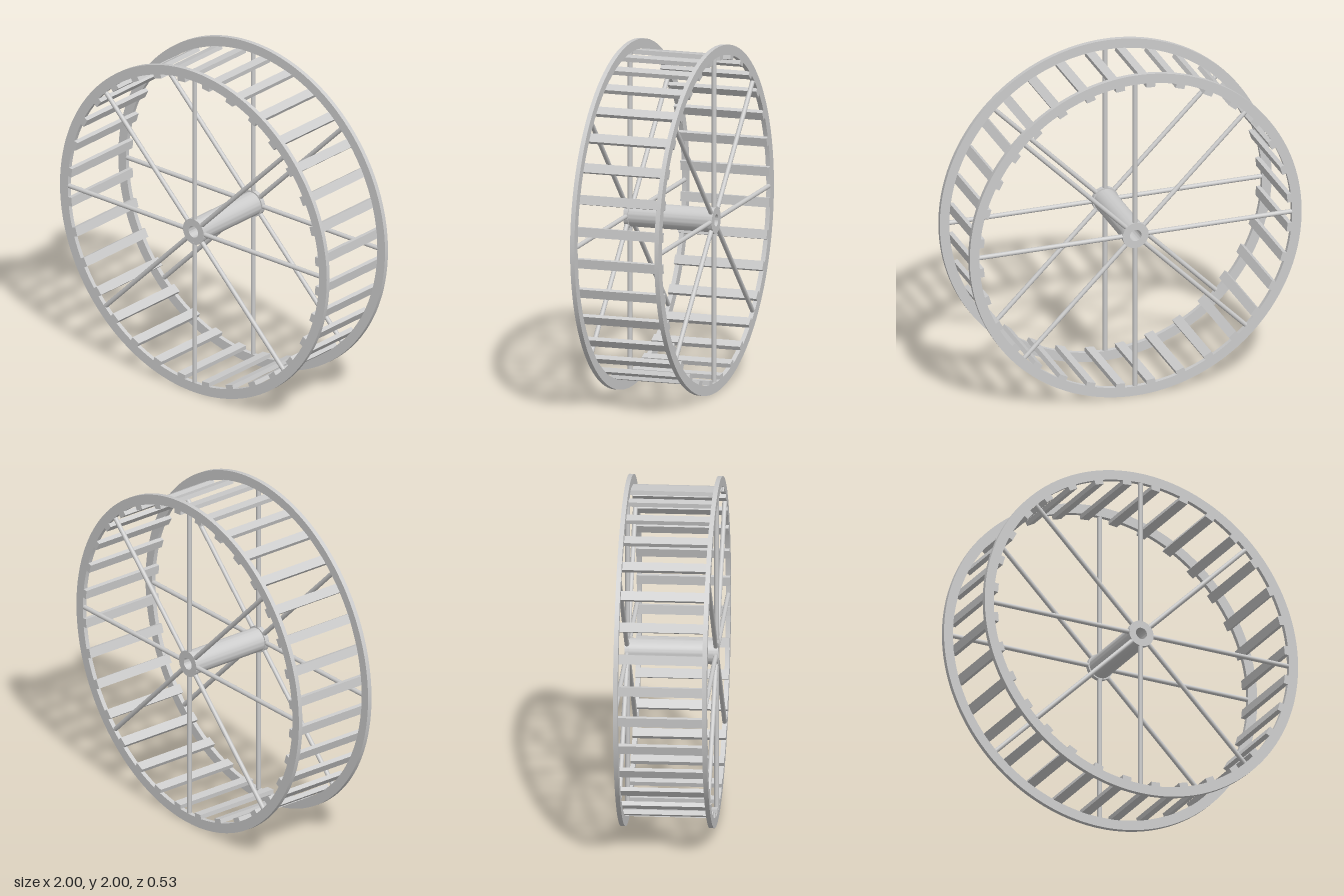
import * as THREE from 'three';
import { toCreasedNormals } from 'three/addons/utils/BufferGeometryUtils.js';

const RIM_Z = 0.253, RIM_T = 0.026, SPOKES = 8, SLATS = 32;

export function createModel() {
  const model = new THREE.Group();
  const mat = new THREE.MeshStandardMaterial({ color: 0xcccccc });

  const add = (parent, name, geometry) => {
    const mesh = new THREE.Mesh(geometry, mat);
    mesh.name = name;
    parent.add(mesh);
    return mesh;
  };

  // flat ring with a round hole, centred on z = 0
  const ring = (outer, inner, depth, segments) => {
    const shape = new THREE.Shape().absarc(0, 0, outer, 0, Math.PI * 2, false);
    shape.holes.push(new THREE.Path().absarc(0, 0, inner, 0, Math.PI * 2, true));
    const g = new THREE.ExtrudeGeometry(shape, { depth, bevelEnabled: false, curveSegments: segments });
    g.translate(0, 0, -depth / 2);
    return toCreasedNormals(g, 0.6);
  };

  const wheel = new THREE.Group();
  wheel.name = 'wheel';
  wheel.position.y = 1;
  model.add(wheel);

  // two side frames: rim, hub flange and spokes
  const rimGeo = ring(1, 0.942, RIM_T, 96);
  const flangeGeo = ring(0.078, 0.035, RIM_T, 32);
  const spokeGeo = new THREE.CylinderGeometry(0.0135, 0.0135, 0.885, 16);
  spokeGeo.translate(0, 0.065 + 0.885 / 2, 0);
  for (const side of [1, -1]) {
    const frame = new THREE.Group();
    frame.name = side > 0 ? 'frontFrame' : 'backFrame';
    frame.position.z = side * RIM_Z;
    wheel.add(frame);
    add(frame, 'rim', rimGeo);
    add(frame, 'hubFlange', flangeGeo);
    for (let i = 0; i < SPOKES; i++) {
      add(frame, 'spoke', spokeGeo).rotation.z = (i / SPOKES) * Math.PI * 2;
    }
  }

  // hollow axle tube between the frames
  add(wheel, 'axleTube', ring(0.07, 0.035, 2 * RIM_Z - RIM_T, 32));

  // running slats just inside the rims, flush with their outer faces
  const slatGeo = new THREE.BoxGeometry(0.054, 0.026, 2 * RIM_Z + RIM_T);
  slatGeo.translate(0, 0.93, 0);
  for (let i = 0; i < SLATS; i++) {
    add(wheel, 'slat', slatGeo).rotation.z = ((i + 0.5) / SLATS) * Math.PI * 2;
  }

  return model;
}
